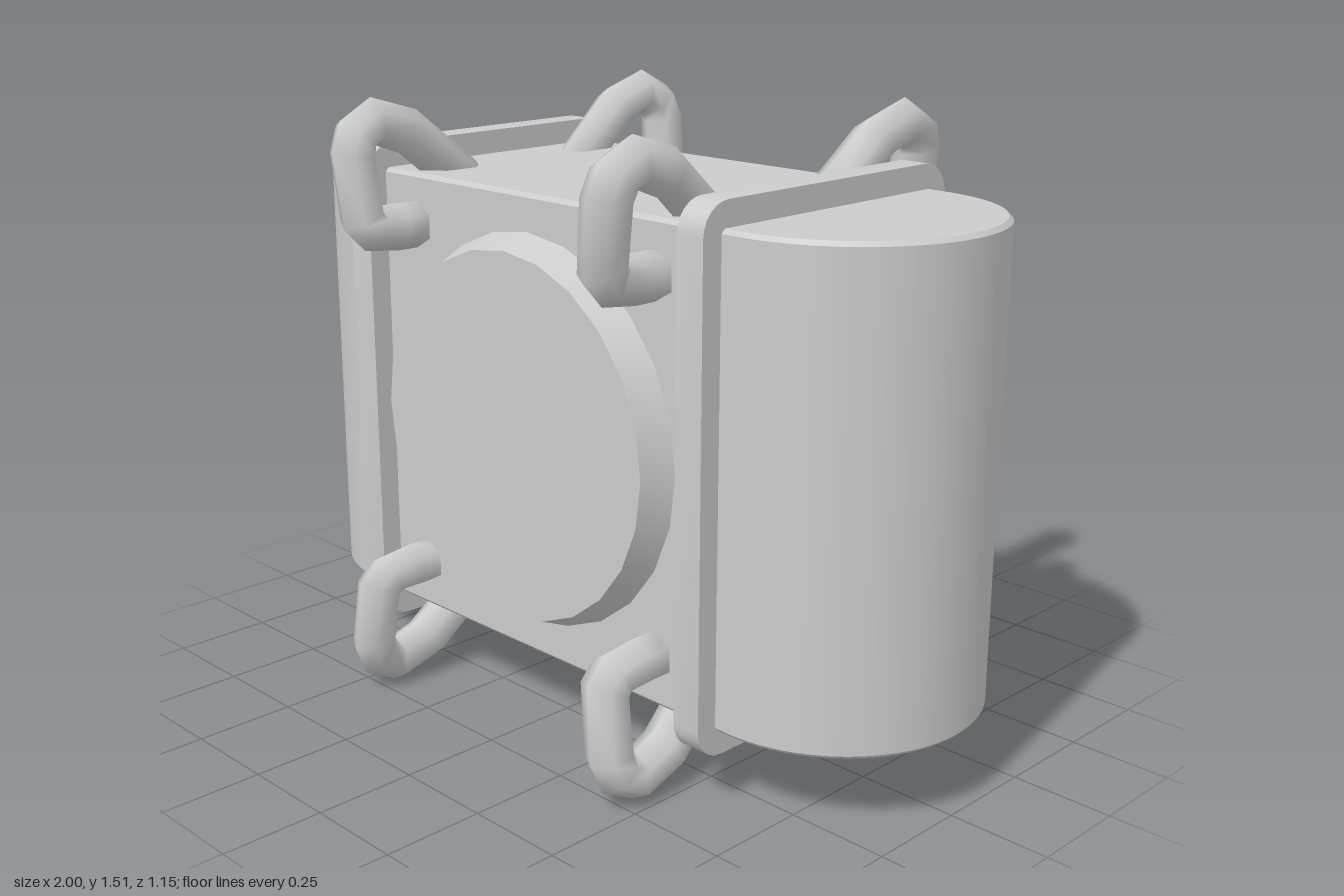
import * as THREE from 'three';
import { toCreasedNormals } from 'three/addons/utils/BufferGeometryUtils.js';

const MID_Y = 0.762;
const material = new THREE.MeshStandardMaterial({ color: 0xcccccc });

function addMesh(parent, name, geometry) {
  const mesh = new THREE.Mesh(geometry, material);
  mesh.name = name;
  parent.add(mesh);
  return mesh;
}

// Rounded rectangle centred on the origin
function roundedRect(halfW, halfH, r) {
  const s = new THREE.Shape();
  s.absarc(halfW - r, halfH - r, r, 0, Math.PI / 2);
  s.absarc(-halfW + r, halfH - r, r, Math.PI / 2, Math.PI);
  s.absarc(-halfW + r, -halfH + r, r, Math.PI, Math.PI * 1.5);
  s.absarc(halfW - r, -halfH + r, r, Math.PI * 1.5, Math.PI * 2);
  s.closePath();
  return s;
}

// Centre line of one link as [z, y - MID_Y]; both ends sink into the body
const LINK_PATH = [
  [0.19, 0.53], [0.35, 0.665], [0.45, 0.698], [0.503, 0.67],
  [0.52, 0.625], [0.513, 0.475], [0.487, 0.448], [0.41, 0.441], [0.29, 0.44],
].map(([z, y]) => new THREE.Vector2(z, y));

// Six-sided tube along the path, leaning outward, mirrored by the three signs
function linkGeometry(sx, sy, sz) {
  const sides = 6, radius = 0.058;
  const positions = [], index = [];
  const last = LINK_PATH.length - 1;
  LINK_PATH.forEach((p, i) => {
    const before = p.clone().sub(LINK_PATH[Math.max(i - 1, 0)]).normalize();
    const after = LINK_PATH[Math.min(i + 1, last)].clone().sub(p).normalize();
    const t = before.add(after).normalize();
    for (let k = 0; k < sides; k++) {
      const a = (k / sides) * Math.PI * 2;
      const out = Math.cos(a) * radius;
      const z = p.x - t.y * out;
      const y = p.y + t.x * out;
      const x = 0.41 + 0.13 * (p.y - 0.42) + Math.sin(a) * radius;
      positions.push(sx * x, MID_Y + sy * y, sz * z);
    }
  });
  const flip = sx * sy * sz < 0;
  const tri = (a, b, c) => (flip ? index.push(a, c, b) : index.push(a, b, c));
  for (let i = 0; i < last; i++) {
    for (let k = 0; k < sides; k++) {
      const a = i * sides + k, b = i * sides + (k + 1) % sides;
      tri(a, a + sides, b);
      tri(b, a + sides, b + sides);
    }
  }
  // End caps
  for (let k = 1; k < sides - 1; k++) {
    const e = last * sides;
    tri(0, k, k + 1);
    tri(e, e + k + 1, e + k);
  }
  const g = new THREE.BufferGeometry();
  g.setAttribute('position', new THREE.Float32BufferAttribute(positions, 3));
  g.setIndex(index);
  g.computeVertexNormals();
  return g;
}

export function createModel() {
  const model = new THREE.Group();
  model.name = 'strappedCase';

  // Main body: round-ended block with a fine bevel on its top and bottom rims
  const bevel = 0.01;
  const bodyGeo = new THREE.ExtrudeGeometry(roundedRect(1 - bevel, 0.355 - bevel, 0.344), {
    depth: 1.134 - 2 * bevel, curveSegments: 10,
    bevelEnabled: true, bevelThickness: bevel, bevelSize: bevel, bevelSegments: 1,
  });
  bodyGeo.translate(0, 0, -(1.134 / 2 - bevel)).rotateX(-Math.PI / 2);
  addMesh(model, 'body', toCreasedNormals(bodyGeo, 0.5)).position.y = MID_Y;

  // Two flat bands around the body
  for (const s of [1, -1]) {
    const bandGeo = new THREE.ExtrudeGeometry(roundedRect(0.41, 0.627, 0.075), {
      depth: 0.075, curveSegments: 3, bevelEnabled: false,
    });
    bandGeo.translate(0, 0, -0.0375).rotateY(Math.PI / 2);
    const band = addMesh(model, s > 0 ? 'leftBand' : 'rightBand', toCreasedNormals(bandGeo, 0.6));
    band.position.set(s * 0.568, MID_Y, 0);
  }

  // Tapered round covers on the front and back
  for (const s of [1, -1]) {
    const discGeo = new THREE.CylinderGeometry(0.445, 0.488, 0.1, 24);
    discGeo.rotateX(s * Math.PI / 2);
    const disc = addMesh(model, s > 0 ? 'frontCover' : 'backCover', toCreasedNormals(discGeo, 0.5));
    disc.position.set(0, MID_Y, s * 0.38);
  }

  // Eight carrying links at the corners
  const links = new THREE.Group();
  links.name = 'cornerLinks';
  model.add(links);
  for (const sx of [1, -1]) for (const sy of [1, -1]) for (const sz of [1, -1]) {
    const name = (sy > 0 ? 'upper' : 'lower') + (sz > 0 ? 'Front' : 'Back') + (sx > 0 ? 'Left' : 'Right') + 'Link';
    addMesh(links, name, linkGeometry(sx, sy, sz));
  }
  return model;
}
